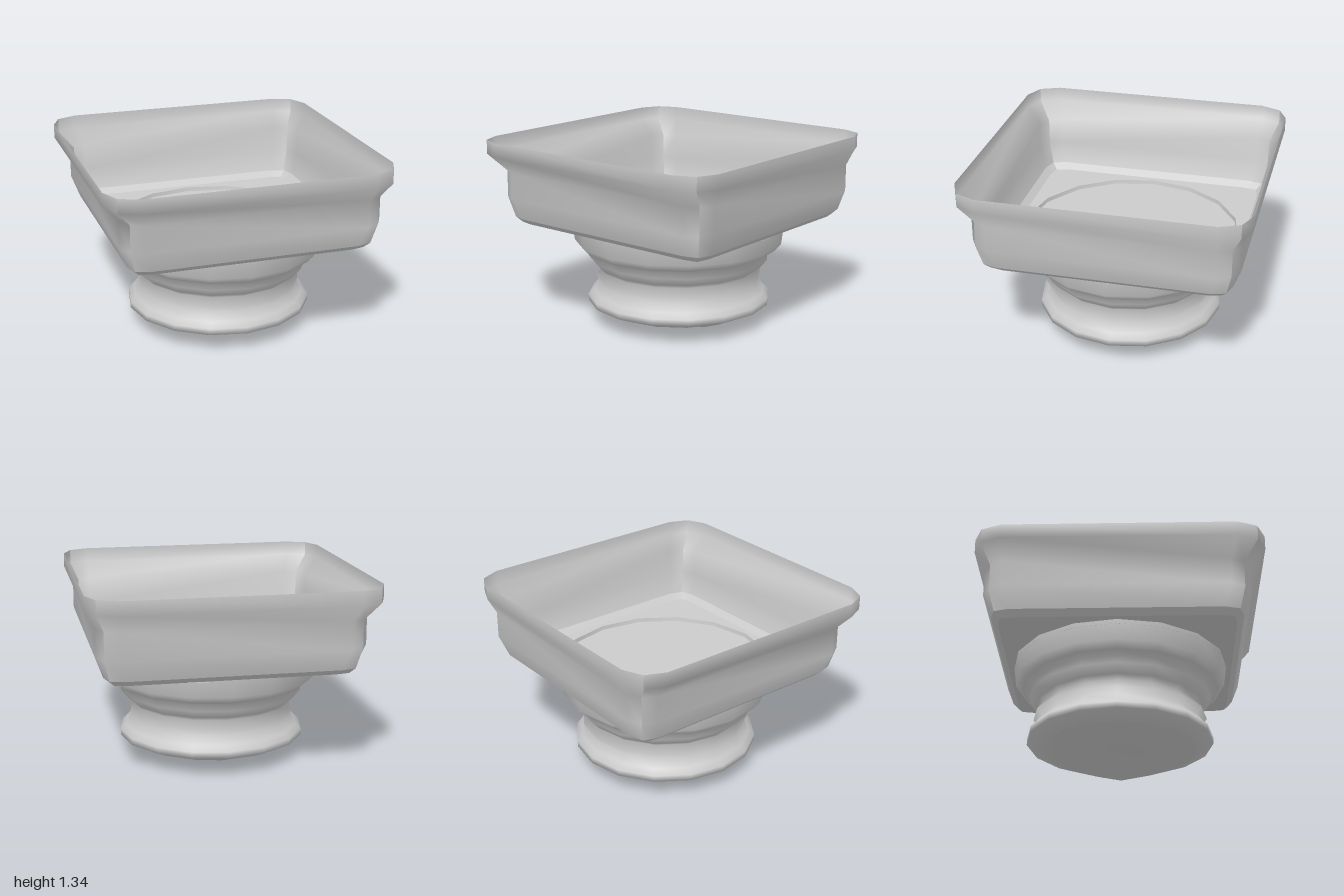
import * as THREE from 'three';
import { mergeVertices } from 'three/addons/utils/BufferGeometryUtils.js';

const material = new THREE.MeshStandardMaterial({ color: 0xcccccc, side: THREE.DoubleSide });
const CX = 0.025, CZ = -0.018; // the lower parts sit slightly off the rim's centre
const FLOOR = 0.74, SIDES = 16, NECK_R = 0.775;

// Slab rings: height, half width, corner point, end of straight edge, share of offset
const RINGS = [
  [1.34, 1.0, 0.94, 0.8, 0],
  [1.24, 1.0, 0.94, 0.8, 0],
  [1.12, 0.915, 0.865, 0.775, 1],
  [0.93, 0.915, 0.865, 0.775, 1],
  [0.78, 0.86, 0.83, 0.73, 1],
  [FLOOR, 0.815, 0.795, 0.7, 1],
];

// Points along one side of a ring, from corner to corner
function sidePoints([y, half, corner, edge, shift], quarter) {
  const c = Math.round(Math.cos(quarter * Math.PI / 2));
  const s = Math.round(Math.sin(quarter * Math.PI / 2));
  return [[-corner, corner], [-edge, half], [edge, half], [corner, corner]].map(([x, z]) =>
    new THREE.Vector3(x * c + z * s + CX * shift, y, -x * s + z * c + CZ * shift));
}

// Smooth strip joining the given rings on one side
function sideGeometry(rings, quarter) {
  const points = rings.flatMap((r) => sidePoints(r, quarter));
  const index = [];
  for (let i = 0; i < rings.length - 1; i++) {
    for (let j = 0; j < 3; j++) {
      const a = i * 4 + j, b = a + 4;
      index.push(a, b, b + 1, a, b + 1, a + 1);
    }
  }
  const g = new THREE.BufferGeometry().setFromPoints(points);
  g.setIndex(index);
  g.computeVertexNormals();
  return g;
}

export function createModel() {
  const group = new THREE.Group();
  const add = (name, geometry, x = 0, y = 0, z = 0) => {
    const mesh = new THREE.Mesh(geometry, material);
    mesh.name = name;
    mesh.position.set(x, y, z);
    group.add(mesh);
  };

  // Open square slab: four moulded walls with a crisp lower bevel
  for (let q = 0; q < 4; q++) {
    add('slabWall', sideGeometry(RINGS.slice(0, 5), q));
    add('slabBevel', sideGeometry(RINGS.slice(4), q));
  }

  // Slab floor with a round opening
  const outline = [0, 1, 2, 3].flatMap((q) => sidePoints(RINGS[5], q).slice(0, 3))
    .map((p) => new THREE.Vector2(p.x - CX, -(p.z - CZ)));
  const floor = new THREE.Shape(outline);
  const hole = [];
  for (let i = 0; i < SIDES; i++) {
    const a = -i / SIDES * Math.PI * 2;
    hole.push(new THREE.Vector2(NECK_R * Math.cos(a), NECK_R * Math.sin(a)));
  }
  floor.holes.push(new THREE.Path(hole));
  add('slabFloor', new THREE.ShapeGeometry(floor).rotateX(-Math.PI / 2), CX, FLOOR, CZ);

  // Shallow recessed disc in the opening
  add('floorDisc', new THREE.CircleGeometry(NECK_R - 0.003, SIDES).rotateX(-Math.PI / 2), CX, FLOOR - 0.03, CZ);

  // Round moulded neck
  const profile = [
    [0.55, 0.09], [0.665, 0.14], [0.665, 0.185], [0.625, 0.22], [0.583, 0.28],
    [0.588, 0.33], [0.573, 0.385], [0.605, 0.415], [0.657, 0.475], [0.655, 0.525],
    [0.712, 0.55], [0.757, 0.6], [NECK_R, FLOOR],
  ].map(([r, y]) => new THREE.Vector2(r, y));
  const neck = new THREE.LatheGeometry(profile, SIDES);
  const np = neck.attributes.position;
  for (let i = 0; i < np.count; i++) { // the thin bead bulges towards front and back
    if (Math.abs(np.getY(i) - 0.33) < 0.01) np.setZ(i, np.getZ(i) * 1.06);
  }
  add('neck', neck, CX, 0, CZ);

  // Uneven underside with two low lumps
  let base = new THREE.RingGeometry(0, 0.55, SIDES, 3).rotateX(Math.PI / 2);
  const bp = base.attributes.position;
  for (let i = 0; i < bp.count; i++) {
    const x = bp.getX(i), z = bp.getZ(i), r = Math.hypot(x, z);
    let y = 0.07;
    if (r > 0.5) y = 0.09;
    else if (r > 0.3) y = 0.055 - 0.055 * Math.max(0, x / r) ** 4 - 0.035 * Math.max(0, -z / r) ** 4;
    else if (r > 0.1) y = 0.06;
    bp.setY(i, y);
  }
  base.deleteAttribute('uv');
  base.deleteAttribute('normal');
  base = mergeVertices(base);
  base.computeVertexNormals();
  add('underside', base, CX, 0, CZ);

  return group;
}
